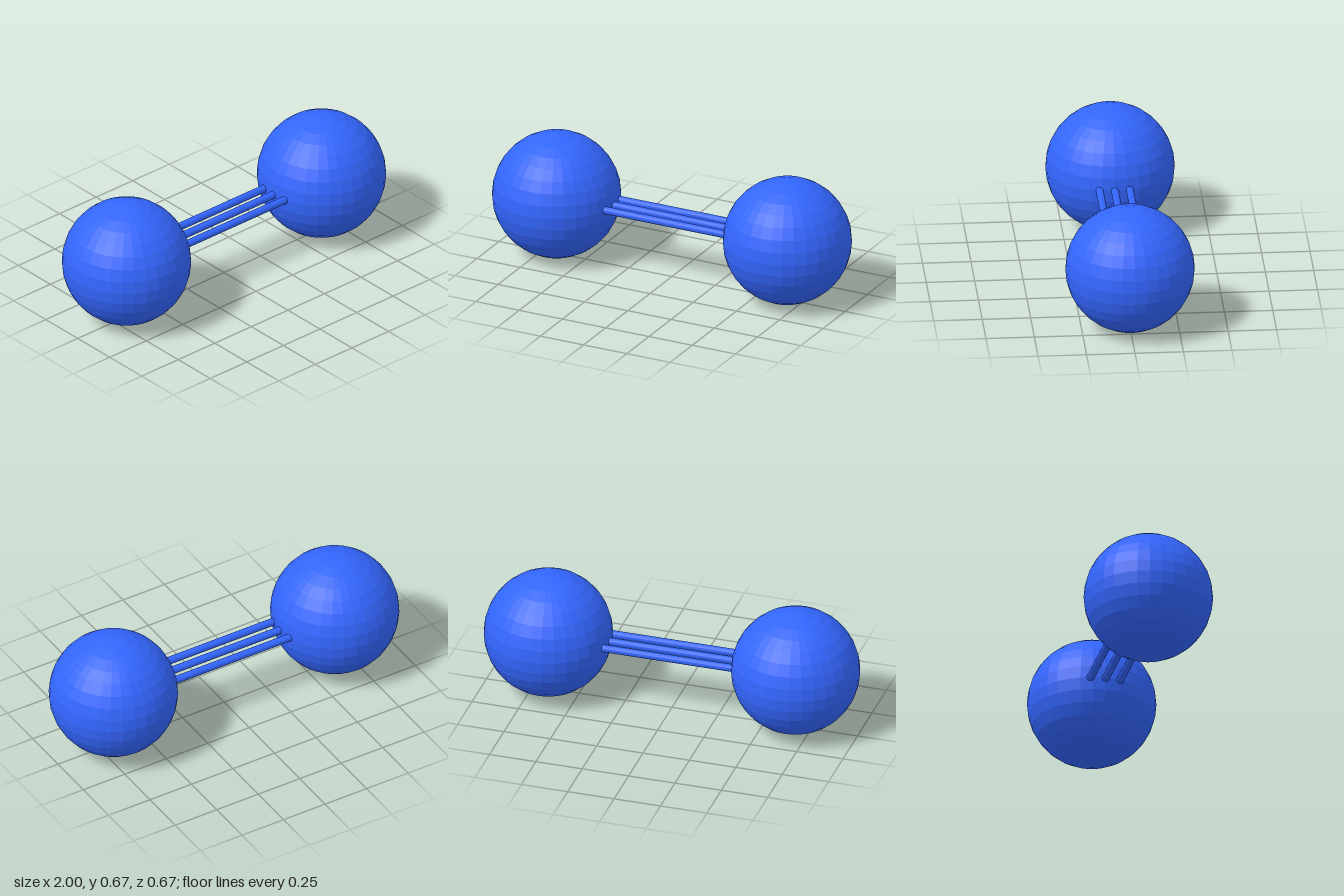
import * as THREE from 'three';

export function createModel() {
  const model = new THREE.Group();
  const material = new THREE.MeshStandardMaterial({ color: 0x3366ff });
  material.flatShading = true;
  const radius = 1 / 3;
  const centre = 1 - radius;

  // Two faceted balls, one at each end
  const ballGeometry = new THREE.SphereGeometry(radius, 32, 16);
  for (const [name, side] of [['leftAtom', 1], ['rightAtom', -1]]) {
    const ball = new THREE.Mesh(ballGeometry, material);
    ball.name = name;
    ball.position.set(side * centre, radius, 0);
    model.add(ball);
  }

  // Three parallel rods joining the balls, running centre to centre
  const rodGeometry = new THREE.CylinderGeometry(0.02, 0.02, 2 * centre, 16).rotateZ(Math.PI / 2);
  for (const [name, z] of [['backBond', -0.078], ['middleBond', 0], ['frontBond', 0.078]]) {
    const rod = new THREE.Mesh(rodGeometry, material);
    rod.name = name;
    rod.position.set(0, radius, z);
    model.add(rod);
  }
  return model;
}
